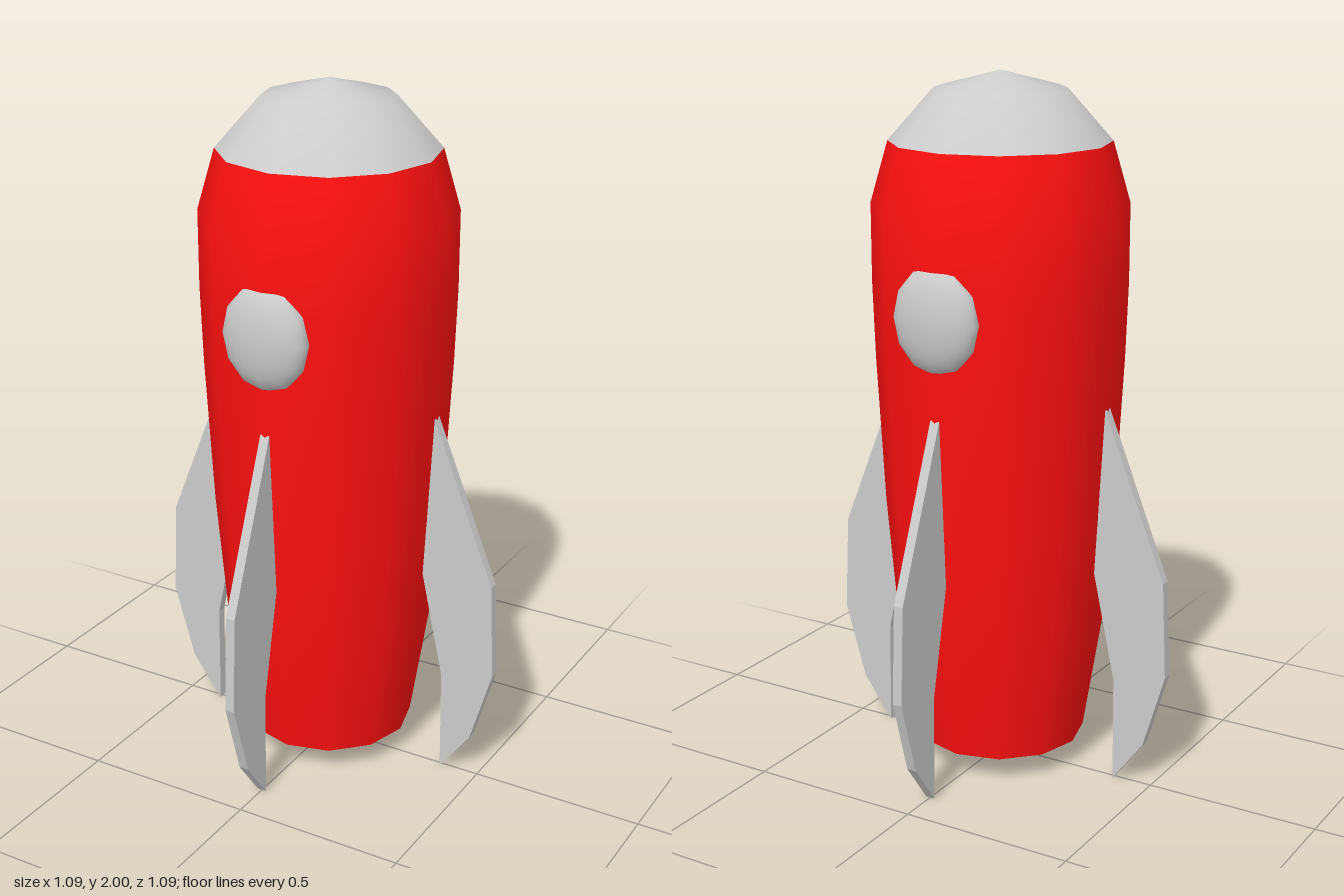
import * as THREE from 'three';

const SIDES = 12;
const grey = new THREE.MeshStandardMaterial({ color: 0xcccccc, side: THREE.DoubleSide });
const greyFlat = new THREE.MeshStandardMaterial({ color: 0xcccccc, flatShading: true });
const red = new THREE.MeshStandardMaterial({ color: 0xff1010, side: THREE.DoubleSide });

function addMesh(parent, name, geometry, material) {
  const mesh = new THREE.Mesh(geometry, material);
  mesh.name = name;
  parent.add(mesh);
  return mesh;
}

// Turned shell from [radius, height] pairs, bottom to top
function turned(profile) {
  return new THREE.LatheGeometry(profile.map(([r, y]) => new THREE.Vector2(r, y)), SIDES);
}

export function createModel() {
  const rocket = new THREE.Group();
  rocket.name = 'rocket';

  // Hull, open at the bottom
  addMesh(rocket, 'hull', turned([
    [0.245, 0.08], [0.297, 0.41], [0.328, 0.78], [0.35, 1.2], [0.357, 1.42], [0.357, 1.64], [0.308, 1.81],
  ]), red);

  // Nose cap
  addMesh(rocket, 'noseCap', turned([[0.308, 1.81], [0.182, 1.953], [0, 2]]), grey);

  // Bulging portholes, front and back
  const porthole = new THREE.SphereGeometry(1, SIDES, SIDES);
  porthole.rotateX(Math.PI / 2);
  porthole.scale(0.13, 0.15, 0.06);
  for (const [name, side] of [['frontPorthole', 1], ['backPorthole', -1]]) {
    addMesh(rocket, name, porthole, grey).position.set(0, 1.373, side * 0.33);
  }

  // Four swept fins around the hull
  const outline = new THREE.Shape([
    [0.385, 0.005], [0.478, 0.13], [0.543, 0.35], [0.53, 0.63],
    [0.342, 1.1], [0.315, 0.62], [0.382, 0.31],
  ].map(([x, y]) => new THREE.Vector2(x, y)));
  const thickness = 0.028;
  const fin = new THREE.ExtrudeGeometry(outline, { depth: thickness, bevelEnabled: false });
  fin.translate(0, 0, -thickness / 2);
  ['leftFin', 'backFin', 'rightFin', 'frontFin'].forEach((name, i) => {
    addMesh(rocket, name, fin, greyFlat).rotation.y = i * Math.PI / 2;
  });

  return rocket;
}
